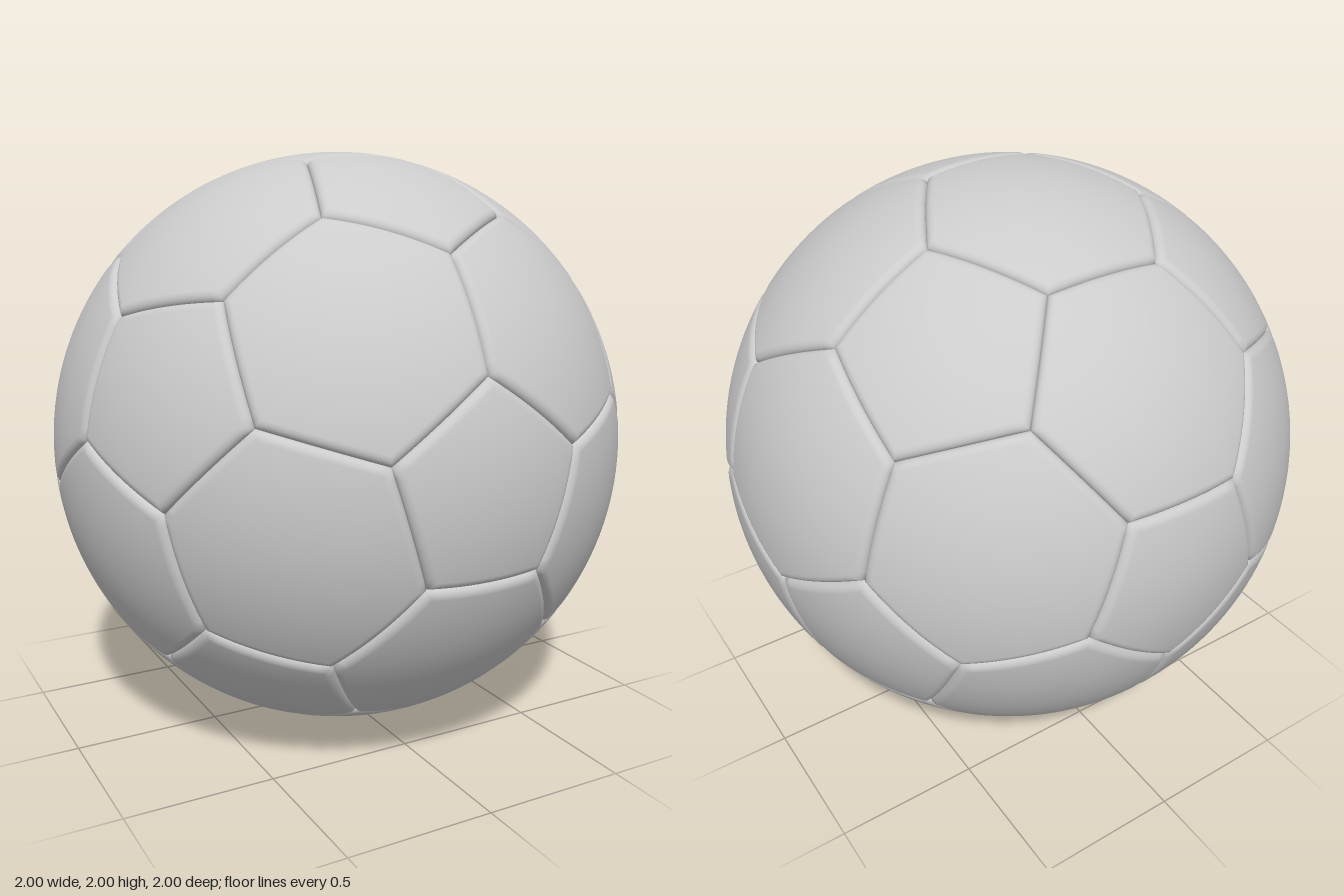
import * as THREE from 'three';

const RADIUS = 1;
const RIM_WIDTH = 0.032;  // rounded border of every panel
const RIM_DEPTH = 0.024;  // how far the seams sink below the surface
const EDGE_STEPS = 12;
const INNER_RINGS = 10;
const RIM_RINGS = 7;

// The twelve icosahedron points, one of them facing the front
function icosahedronPoints() {
  const points = [new THREE.Vector3(0, 0, 1), new THREE.Vector3(0, 0, -1)];
  const z = 1 / Math.sqrt(5);
  for (let k = 0; k < 5; k++) {
    const a = Math.PI / 2 + (k * 2 * Math.PI) / 5;
    const p = new THREE.Vector3(2 * z * Math.cos(a), 2 * z * Math.sin(a), z);
    points.push(p, p.clone().negate());
  }
  return points;
}

// Corner of the truncated solid: a third of the way from a to b, scaled to the unit sphere
const corner = (a, b) => a.clone().multiplyScalar(2).add(b).normalize();

// Order corners counter-clockwise as seen from outside
function sortAround(corners) {
  const centre = corners.reduce((s, c) => s.add(c), new THREE.Vector3()).divideScalar(corners.length);
  const n = centre.clone().normalize();
  const u = corners[0].clone().sub(centre).normalize();
  const v = n.clone().cross(u);
  const angle = (p) => Math.atan2(p.clone().sub(centre).dot(v), p.clone().sub(centre).dot(u));
  return { centre, corners: [...corners].sort((p, q) => angle(p) - angle(q)) };
}

// Spherical panel made of concentric polygon rings, with a rounded rim
function panelGeometry(cornerList) {
  const { centre, corners } = sortAround(cornerList);
  const count = corners.length;
  const inradius = corners[0].clone().add(corners[1]).multiplyScalar(0.5).distanceTo(centre);

  // Each ring: scale of the polygon and radius on the ball
  const rings = [];
  const innerEdge = 1 - RIM_WIDTH / inradius;
  for (let i = 1; i <= INNER_RINGS; i++) rings.push([(innerEdge * i) / INNER_RINGS, RADIUS]);
  for (let i = 1; i <= RIM_RINGS; i++) {
    const a = (i / RIM_RINGS) * Math.PI / 2;
    rings.push([innerEdge + (1 - innerEdge) * Math.sin(a), RADIUS - RIM_DEPTH * (1 - Math.cos(a))]);
  }

  const positions = centre.clone().setLength(RADIUS).toArray();
  const index = [];
  const around = count * EDGE_STEPS;
  rings.forEach(([scale, radius], r) => {
    for (let j = 0; j < around; j++) {
      const side = Math.floor(j / EDGE_STEPS);
      const p = corners[side].clone().lerp(corners[(side + 1) % count], (j % EDGE_STEPS) / EDGE_STEPS);
      positions.push(...centre.clone().lerp(p, scale).setLength(radius).toArray());
      const next = (j + 1) % around;
      const a = 1 + r * around + j;
      const b = 1 + r * around + next;
      if (r === 0) index.push(0, a, b);
      else index.push(a - around, a, b, a - around, b, b - around);
    }
  });

  const geometry = new THREE.BufferGeometry();
  geometry.setAttribute('position', new THREE.Float32BufferAttribute(positions, 3));
  geometry.setIndex(index);
  geometry.computeVertexNormals();
  return geometry;
}

export function createModel() {
  const model = new THREE.Group();
  model.name = 'ball';
  const material = new THREE.MeshStandardMaterial({ color: 0xcccccc });
  const points = icosahedronPoints();
  const near = (a, b) => a !== b && a.dot(b) > 0.4;

  const addPanel = (name, corners) => {
    const mesh = new THREE.Mesh(panelGeometry(corners), material);
    mesh.name = name;
    mesh.position.y = RADIUS;
    model.add(mesh);
  };

  // Twelve pentagons around the icosahedron points
  points.forEach((a, i) => {
    addPanel(`pentagonPanel${i + 1}`, points.filter((b) => near(a, b)).map((b) => corner(a, b)));
  });

  // Twenty hexagons, one for each triangle of neighbouring points
  let hexagons = 0;
  points.forEach((a, i) => points.forEach((b, j) => points.forEach((c, k) => {
    if (i < j && j < k && near(a, b) && near(b, c) && near(a, c)) {
      addPanel(`hexagonPanel${++hexagons}`, [
        corner(a, b), corner(b, a), corner(b, c), corner(c, b), corner(c, a), corner(a, c),
      ]);
    }
  })));

  return model;
}
